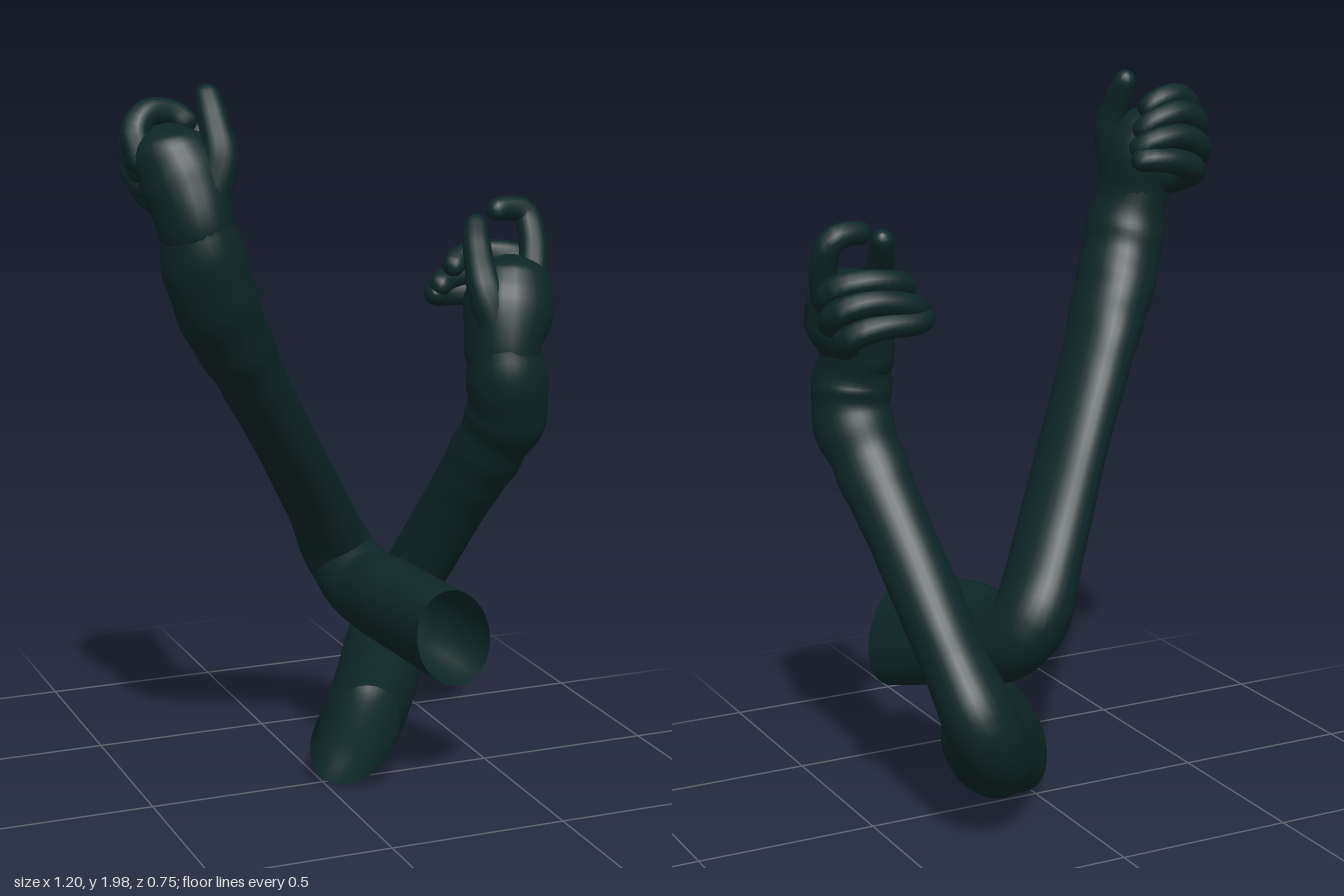
import * as THREE from 'three';

const cloth = new THREE.MeshStandardMaterial({ color: 0x0d2626, side: THREE.DoubleSide });
cloth.name = 'dark teal';

// Sweeps an ellipse along a smooth path of [x, y, z, radiusH, radiusV] points.
// hint is the direction of radiusH; round closes both ends; wrinkle adds cloth folds.
function sweep(name, pts, hint, { rows = 30, cols = 16, round = false, wrinkle = 0 } = {}) {
  const curve = new THREE.CatmullRomCurve3(pts.map(p => new THREE.Vector3(p[0], p[1], p[2])), false, 'centripetal');
  const length = curve.getLength();
  const pos = [], index = [];
  for (let i = 0; i <= rows; i++) {
    const u = round ? 0.5 - 0.5 * Math.cos(Math.PI * i / rows) : i / rows;
    const t = curve.getUtoTmapping(u);
    const c = curve.getPoint(t), T = curve.getTangent(t);
    const h = hint.clone().addScaledVector(T, -hint.dot(T)).normalize();
    const v = T.clone().cross(h);
    // blend the radii between the path points
    const f = t * (pts.length - 1), k = Math.min(Math.floor(f), pts.length - 2);
    const s = THREE.MathUtils.smoothstep(f - k, 0, 1);
    let rh = THREE.MathUtils.lerp(pts[k][3], pts[k + 1][3], s);
    let rv = THREE.MathUtils.lerp(pts[k][4], pts[k + 1][4], s);
    if (round) {
      const e = Math.min(u, 1 - u) * length / Math.min(pts[0][3], pts[pts.length - 1][3]);
      const g = e < 1 ? Math.sqrt(Math.max(1e-4, 1 - (1 - e) ** 2)) : 1;
      rh *= g; rv *= g;
    }
    for (let j = 0; j < cols; j++) {
      const a = j / cols * Math.PI * 2;
      const w = 1 + wrinkle * THREE.MathUtils.smoothstep(u, 0.6, 0.85) * Math.sin(u * 75 + 1.3 * Math.sin(a));
      const p = c.clone().addScaledVector(h, rh * w * Math.cos(a)).addScaledVector(v, rv * w * Math.sin(a));
      pos.push(p.x, p.y, p.z);
      if (i < rows) {
        const n = (j + 1) % cols, r = i * cols;
        index.push(r + j, r + n, r + cols + j, r + n, r + cols + n, r + cols + j);
      }
    }
  }
  const geo = new THREE.BufferGeometry();
  geo.setAttribute('position', new THREE.Float32BufferAttribute(pos, 3));
  geo.setIndex(index);
  geo.computeVertexNormals();
  const mesh = new THREE.Mesh(geo, cloth);
  mesh.name = name;
  return mesh;
}

// A finger of even thickness that tapers slightly to the tip
function finger(name, path, r0, r1) {
  const pts = path.map((p, i) => {
    const r = THREE.MathUtils.lerp(r0, r1, i / (path.length - 1));
    return [...p, r, r];
  });
  return sweep(name, pts, new THREE.Vector3(0, 0.6, 0.8), { rows: 26, cols: 12, round: true });
}

function arm(name, { sleeve, bend, palm, thumb, fingers }) {
  const g = new THREE.Group();
  g.name = name;
  g.add(sweep('sleeve', sleeve, new THREE.Vector3(...bend), { rows: 90, cols: 32, wrinkle: 0.025 }));
  g.add(sweep('palm', palm, new THREE.Vector3(1, 0, 0), { rows: 30, cols: 24, round: true }));
  g.add(finger('thumb', thumb, 0.055, 0.03));
  for (const [key, path] of Object.entries(fingers)) g.add(finger(key, path, 0.04, 0.031));
  return g;
}

export function createModel() {
  const model = new THREE.Group();
  model.name = 'arms';

  // Raised arm reaching up to the right
  model.add(arm('rightArm', {
    bend: [0.8, 0.58, -0.05],
    sleeve: [
      [0.285, 0.48, 0.25, 0.115, 0.172], [0.22, 0.515, 0.04, 0.115, 0.15], [0.175, 0.54, -0.13, 0.11, 0.125],
      [0.14, 0.61, -0.222, 0.1, 0.115], [0.05, 0.77, -0.16, 0.085, 0.115], [-0.1, 1.0, -0.02, 0.08, 0.115],
      [-0.23, 1.2, 0.09, 0.085, 0.115], [-0.355, 1.4, 0.2, 0.105, 0.12], [-0.41, 1.53, 0.245, 0.108, 0.12],
      [-0.44, 1.67, 0.25, 0.095, 0.115],
    ],
    palm: [
      [-0.42, 1.56, 0.25, 0.09, 0.1], [-0.44, 1.66, 0.25, 0.098, 0.115], [-0.46, 1.76, 0.225, 0.112, 0.112],
      [-0.49, 1.84, 0.2, 0.1, 0.1], [-0.5, 1.9, 0.18, 0.08, 0.06],
    ],
    thumb: [[-0.42, 1.7, 0.28], [-0.385, 1.82, 0.285], [-0.39, 1.91, 0.25], [-0.395, 1.995, 0.2]],
    fingers: {
      indexFinger: [[-0.55, 1.78, 0.2], [-0.57, 1.88, 0.17], [-0.53, 1.925, 0.15], [-0.46, 1.92, 0.14], [-0.41, 1.88, 0.16]],
      middleFinger: [[-0.54, 1.76, 0.18], [-0.555, 1.85, 0.1], [-0.49, 1.89, 0.07], [-0.4, 1.87, 0.07], [-0.36, 1.83, 0.1]],
      ringFinger: [[-0.53, 1.73, 0.17], [-0.54, 1.79, 0.06], [-0.47, 1.83, 0.03], [-0.37, 1.82, 0.03], [-0.33, 1.79, 0.07]],
      littleFinger: [[-0.49, 1.69, 0.16], [-0.51, 1.735, 0.04], [-0.44, 1.765, 0.01], [-0.36, 1.775, 0.015], [-0.32, 1.77, 0.05]],
    },
  }));

  // Lower arm with the forearm held upright
  model.add(arm('leftArm', {
    bend: [0.8, -0.45, 0.375],
    sleeve: [
      [0.055, 0.18, 0.1, 0.11, 0.185], [0.15, 0.22, -0.03, 0.115, 0.165], [0.24, 0.265, -0.17, 0.115, 0.15],
      [0.295, 0.36, -0.255, 0.1, 0.125], [0.335, 0.53, -0.16, 0.09, 0.105], [0.385, 0.8, 0.03, 0.09, 0.082],
      [0.42, 1.0, 0.18, 0.1, 0.085], [0.435, 1.1, 0.24, 0.11, 0.1], [0.425, 1.18, 0.26, 0.108, 0.115],
      [0.415, 1.28, 0.25, 0.1, 0.115],
    ],
    palm: [
      [0.425, 1.18, 0.25, 0.09, 0.1], [0.415, 1.28, 0.248, 0.1, 0.115], [0.44, 1.38, 0.23, 0.125, 0.115],
      [0.46, 1.45, 0.2, 0.11, 0.1], [0.47, 1.51, 0.17, 0.08, 0.06],
    ],
    thumb: [[0.39, 1.32, 0.28], [0.355, 1.43, 0.265], [0.36, 1.53, 0.2], [0.385, 1.615, 0.13]],
    fingers: {
      indexFinger: [[0.53, 1.42, 0.18], [0.555, 1.54, 0.13], [0.545, 1.61, 0.1], [0.5, 1.625, 0.1], [0.43, 1.62, 0.115]],
      middleFinger: [[0.52, 1.41, 0.18], [0.54, 1.48, 0.1], [0.47, 1.5, 0.06], [0.37, 1.49, 0.06], [0.33, 1.46, 0.1]],
      ringFinger: [[0.52, 1.37, 0.17], [0.54, 1.425, 0.07], [0.46, 1.45, 0.035], [0.34, 1.43, 0.04], [0.3, 1.41, 0.08]],
      littleFinger: [[0.49, 1.31, 0.16], [0.51, 1.36, 0.06], [0.44, 1.385, 0.03], [0.33, 1.39, 0.03], [0.29, 1.4, 0.07]],
    },
  }));

  return model;
}
